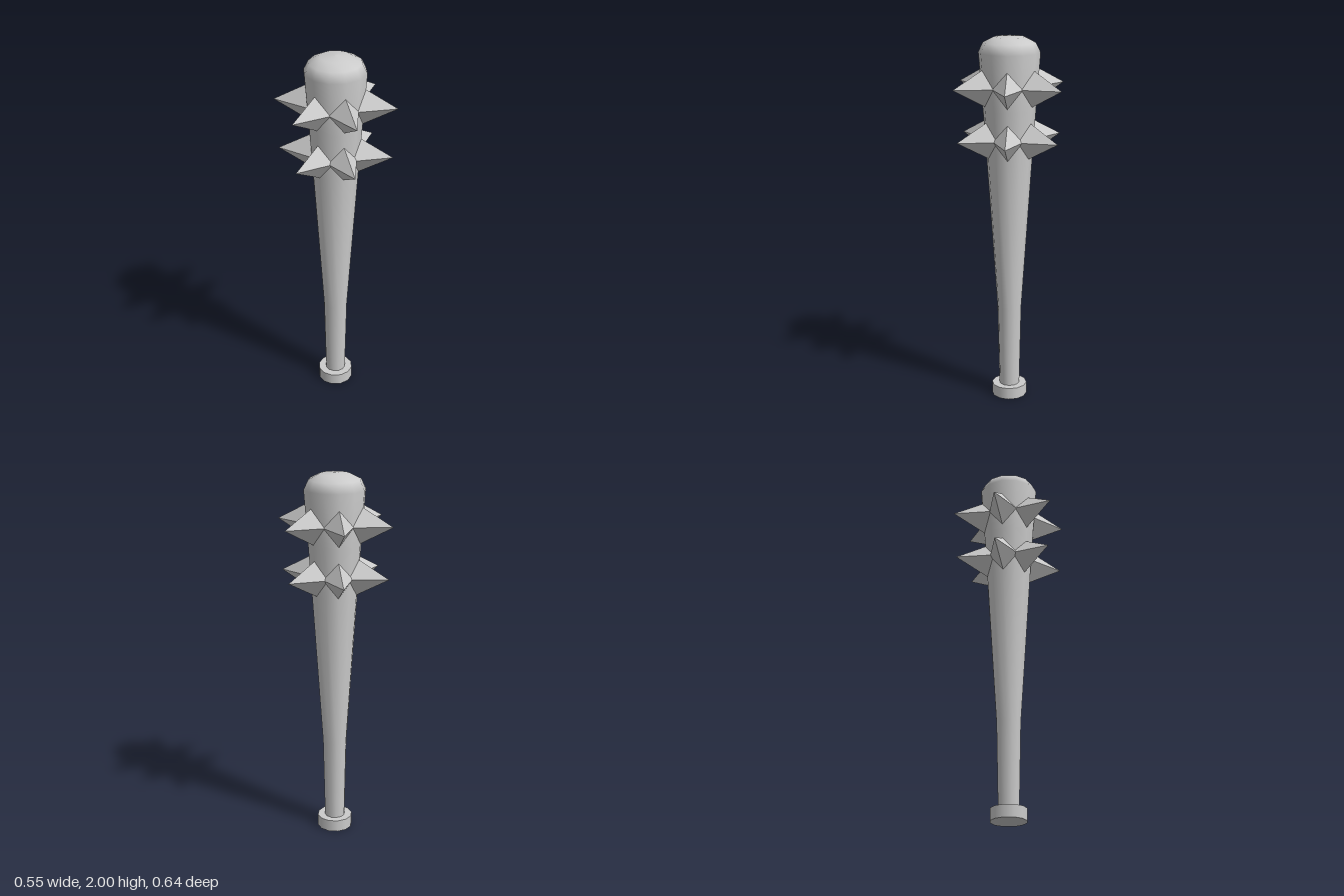
import * as THREE from 'three';

const SIDES = 12;

export function createModel() {
  const group = new THREE.Group();
  const smooth = new THREE.MeshStandardMaterial({ color: 0xcccccc });
  const faceted = new THREE.MeshStandardMaterial({ color: 0xcccccc, flatShading: true });

  const add = (parent, name, geometry, material) => {
    const mesh = new THREE.Mesh(geometry, material);
    mesh.name = name;
    parent.add(mesh);
    return mesh;
  };

  // Tapered shaft with a domed top
  const profile = [
    [0.055, 0.05], [0.065, 0.52], [0.122, 1.38], [0.139, 1.62],
    [0.161, 1.915], [0.136, 1.965], [0.08, 1.993], [0, 2],
  ].map(([r, y]) => new THREE.Vector2(r, y));
  add(group, 'shaft', new THREE.LatheGeometry(profile, SIDES), smooth);

  // Disc at the end of the grip
  const knob = add(group, 'knob', new THREE.CylinderGeometry(0.096, 0.096, 0.065, SIDES), smooth);
  knob.position.y = 0.0325;

  // Four-sided spike pointing along +z, with its tip at the origin, taller than wide
  const length = 0.24;
  const spikeGeometry = new THREE.ConeGeometry(1, length, 4, 1, true)
    .translate(0, -length / 2, 0)
    .rotateX(Math.PI / 2)
    .scale(0.097, 0.132, 1);

  // Two rings of six spikes
  const rings = [
    { name: 'upperSpikes', y: 1.74, tip: 0.319 },
    { name: 'lowerSpikes', y: 1.465, tip: 0.3 },
  ];
  for (const { name, y, tip } of rings) {
    const ring = new THREE.Group();
    ring.name = name;
    ring.position.y = y;
    for (let i = 0; i < 6; i++) {
      const angle = (i * Math.PI) / 3;
      const spike = add(ring, 'spike', spikeGeometry, faceted);
      spike.rotation.y = angle;
      spike.position.set(Math.sin(angle) * tip, 0, Math.cos(angle) * tip);
    }
    group.add(ring);
  }

  return group;
}
